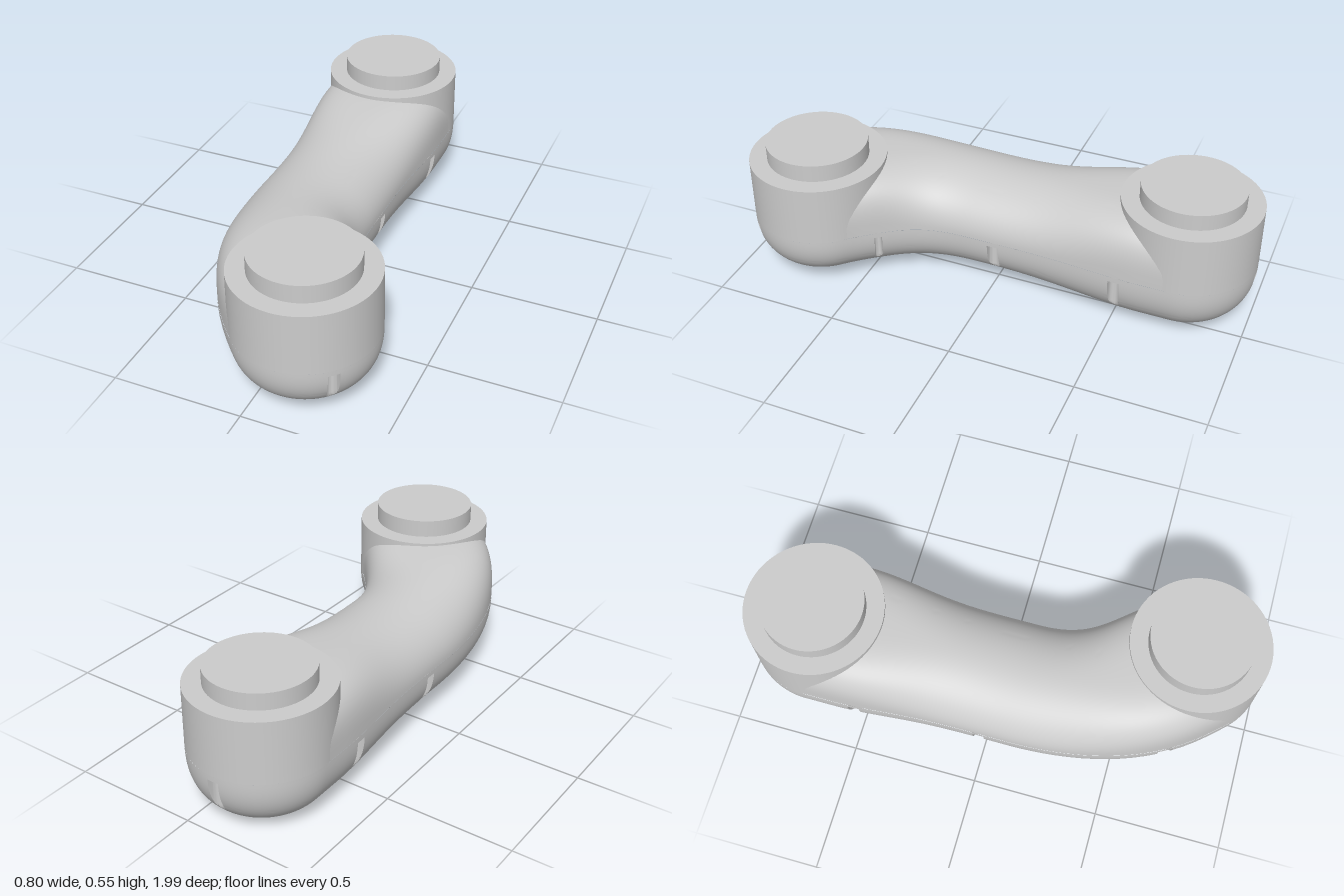
import * as THREE from 'three';
import { mergeVertices, toCreasedNormals } from 'three/addons/utils/BufferGeometryUtils.js';

const SEAM = 0.245; // height of the joint between the two shells
const BACK = [-0.13, -0.73], FRONT = [0.125, 0.72];
const V = (x, z) => new THREE.Vector3(x, 0, z);

// Spine: a straight run from the back joint, then a bend into the front joint
const spine = new THREE.CurvePath();
spine.add(new THREE.LineCurve3(V(...BACK), V(-0.13, 0.1)));
spine.add(new THREE.CubicBezierCurve3(V(-0.13, 0.1), V(-0.13, 0.36), V(-0.05, 0.545), V(...FRONT)));
const LENGTH = spine.getLength();

// 0 in the middle of the arm, 1 at the joints
const flare = (u) => Math.sin(Math.min(1, Math.abs(2 * u - 1) / 0.85) * Math.PI / 2) ** 2;
const halfWidth = (u) => 0.245 + 0.027 * flare(u) ** 2;
const depth = (u) => 0.206 + flare(u) * (u < 0.5 ? 0.038 : 0.015);
const power = (s, n) => Math.max(0, s) ** (2 / n);

function frame(u) {
  const c = spine.getPointAt(u), t = spine.getTangentAt(u);
  return { c, t, n: V(t.z, -t.x) };
}

// Skin a grid of points; flip reverses the winding
function skin(grid, flip) {
  const rows = grid[0].length, index = [];
  for (let i = 0; i < grid.length - 1; i++) {
    for (let j = 0; j < rows - 1; j++) {
      const a = i * rows + j, b = a + rows;
      if (flip) index.push(a, a + 1, b, b, a + 1, b + 1);
      else index.push(a, b, a + 1, b, b + 1, a + 1);
    }
  }
  const g = new THREE.BufferGeometry();
  g.setAttribute('position', new THREE.Float32BufferAttribute(grid.flat().flatMap((p) => [p.x, p.y, p.z]), 3));
  g.setIndex(index);
  return toCreasedNormals(mergeVertices(g, 1e-5), 0.6);
}

// Outline station: 0-1 left side, 1-2 front end, 2-3 right side, 3-4 back end
function station(k) {
  const part = Math.min(3, Math.floor(k)), f = k - part;
  const u = [f, 1, 1 - f, 0][part];
  const { c, t, n } = frame(u);
  const angle = [0, f, 1, 1 + f][part] * Math.PI;
  const dir = n.multiplyScalar(Math.cos(angle)).addScaledVector(t, Math.sin(angle));
  return { u, c, dir };
}

// Lower shell with vertical screw pockets cut into its wall
function lowerShell() {
  const slots = [0.139, 0.469, 0.873, 1.5, 2.14, 2.531, 2.861, 3.5].map((k) => ({
    k, half: 0.022 / (Math.floor(k) % 2 ? Math.PI * 0.272 : LENGTH),
  }));
  const keys = [];
  for (let i = 0; i <= 160; i++) keys.push(i / 40);
  for (const s of slots)
    for (const f of [-1.03, -1, -0.92, -0.75, -0.5, -0.25, 0, 0.25, 0.5, 0.75, 0.92, 1, 1.03]) keys.push(s.k + f * s.half);
  keys.sort((a, b) => a - b);

  const ceiling = 0.05, thetas = [0, 0.025, ceiling - 0.0005, ceiling + 0.0005];
  for (let i = 1; i <= 34; i++) thetas.push(ceiling + (Math.PI / 2 - ceiling) * i / 34);

  const grid = keys.map((k) => {
    const { u, c, dir } = station(k);
    const w = halfWidth(u), d = depth(u);
    const slot = slots.find((s) => Math.abs(k - s.k) < s.half * 1.005);
    const f = slot ? Math.min(1, Math.abs(k - slot.k) / slot.half) : 0;
    return thetas.map((a) => {
      let r = w * power(Math.cos(a), 2.5);
      if (slot && a > ceiling) r = Math.min(r, w - 0.02 - 0.022 * Math.sqrt(1 - f * f));
      const p = c.clone().addScaledVector(dir, r);
      p.y = SEAM - d * power(Math.sin(a), 2.5);
      return p;
    });
  });
  return skin(grid, false);
}

// Upper half of the arm: a rounded arch swept along the spine
function upperArm() {
  const grid = [];
  for (let i = 0; i <= 72; i++) {
    const u = i / 72, { c, n } = frame(u), e = flare(u);
    const w = halfWidth(u) - 0.001, h = 0.19 + 0.046 * e, exp = 2 + 1.4 * e * e;
    const row = [];
    for (let j = 0; j <= 48; j++) {
      const a = Math.PI * j / 48, cos = Math.cos(a);
      const p = c.clone().addScaledVector(n, w * Math.sign(cos) * power(Math.abs(cos), exp));
      p.y = SEAM + h * power(Math.sin(a), exp);
      row.push(p);
    }
    grid.push(row);
  }
  return skin(grid, true);
}

export function createModel() {
  const group = new THREE.Group();
  const material = new THREE.MeshStandardMaterial({ color: 0xcccccc });
  const add = (name, geometry, x = 0, y = 0, z = 0) => {
    const mesh = new THREE.Mesh(geometry, material);
    mesh.name = name;
    mesh.position.set(x, y, z);
    group.add(mesh);
  };

  add('lowerShell', lowerShell());
  add('upperArm', upperArm());

  // Joint housings with a raised round flange on each
  for (const [name, [x, z], top] of [['back', BACK, 0.49], ['front', FRONT, 0.485]]) {
    const h = top - SEAM, rise = 0.555 - top;
    add(name + 'Housing', new THREE.CylinderGeometry(0.27, 0.272, h, 72), x, SEAM + h / 2, z);
    add(name + 'Flange', new THREE.CylinderGeometry(0.2, 0.2, rise, 64), x, top + rise / 2, z);
  }
  return group;
}
